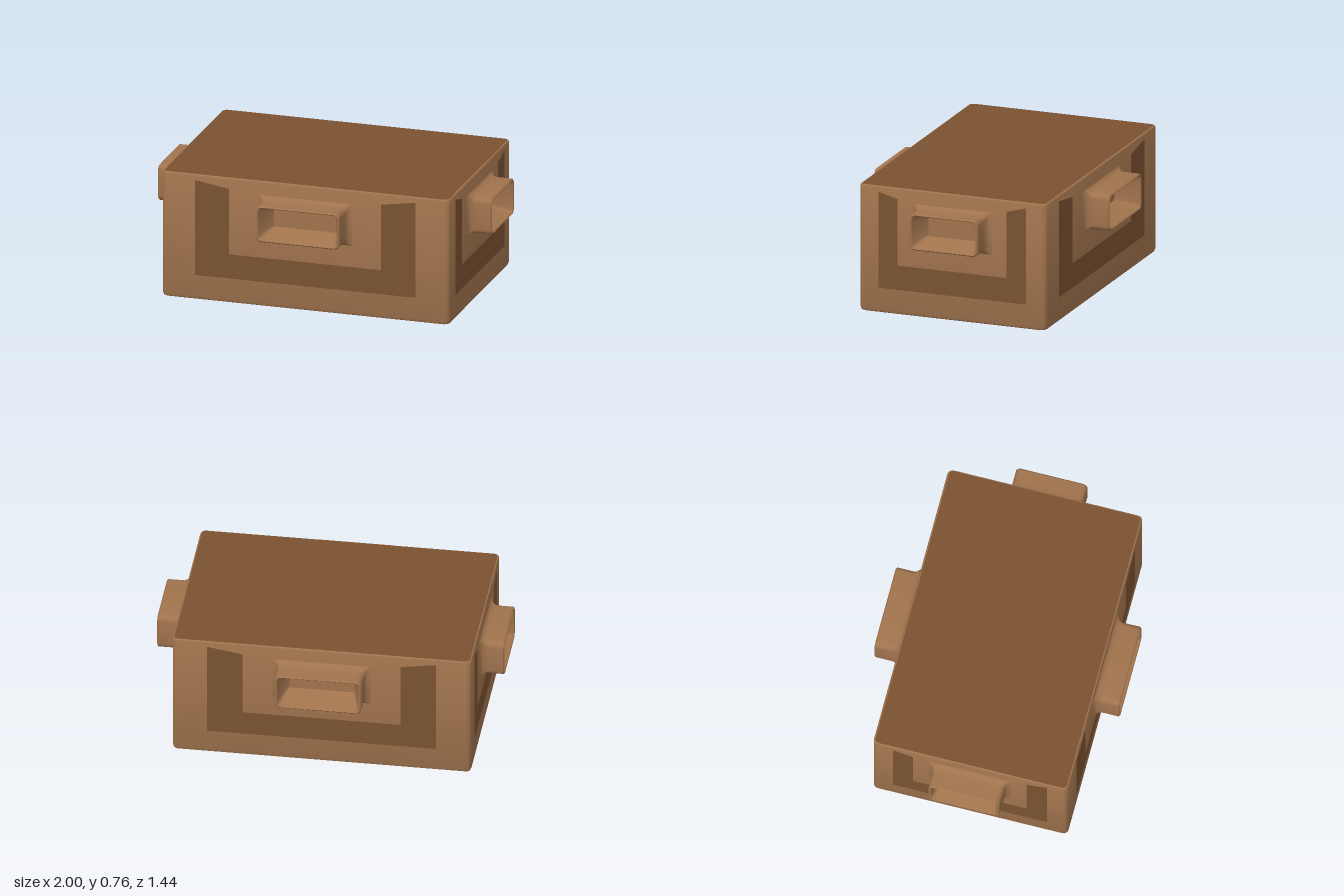
import * as THREE from 'three';
import { toCreasedNormals } from 'three/addons/utils/BufferGeometryUtils.js';

const wood = new THREE.MeshStandardMaterial({ color: 0xa0734d });
const darkWood = new THREE.MeshStandardMaterial({ color: 0x7a5230 });
const W = 0.86, D = 0.573, H = 0.754;

// Rounded rectangle outline, counter-clockwise
function outline(hw, hh, r, steps = 4) {
  const pts = [];
  const corners = [[1, 1], [-1, 1], [-1, -1], [1, -1]];
  corners.forEach(([sx, sy], q) => {
    for (let i = 0; i <= steps; i++) {
      const a = (q + i / steps) * Math.PI / 2;
      pts.push(new THREE.Vector2(sx * (hw - r) + r * Math.cos(a), sy * (hh - r) + r * Math.sin(a)));
    }
  });
  return pts;
}

// Skin through sections [halfWidth, halfHeight, radius, z], closed by a cap at the end
function loft(sections, capStart) {
  const pos = [], idx = [];
  const rings = sections.map(([hw, hh, r, z]) => outline(hw, hh, r).map(p => [p.x, p.y, z]));
  const n = rings[0].length;
  rings.forEach(ring => ring.forEach(p => pos.push(...p)));
  for (let s = 0; s < rings.length - 1; s++) {
    for (let i = 0; i < n; i++) {
      const a = s * n + i, b = s * n + (i + 1) % n;
      idx.push(a, b, b + n, a, b + n, a + n);
    }
  }
  const cap = (s, flip) => {
    const c = pos.length / 3;
    pos.push(0, 0, sections[s][3]);
    for (let i = 0; i < n; i++) {
      const a = s * n + i, b = s * n + (i + 1) % n;
      idx.push(c, flip ? b : a, flip ? a : b);
    }
  };
  cap(rings.length - 1, false);
  if (capStart) cap(0, true);
  const g = new THREE.BufferGeometry();
  g.setAttribute('position', new THREE.Float32BufferAttribute(pos, 3));
  g.setIndex(idx);
  return toCreasedNormals(g, 0.5);
}

function add(parent, name, geometry, material) {
  const mesh = new THREE.Mesh(geometry, material);
  mesh.name = name;
  parent.add(mesh);
  return mesh;
}

// Hollow grip: flared foot, straight wall, bevelled rim, tapered pocket
function handleGeometry(w) {
  const h = 0.108;
  return loft([
    [w + 0.035, h + 0.018, 0.001, 0],
    [w + 0.012, h + 0.007, 0.012, 0.012],
    [w + 0.003, h + 0.002, 0.025, 0.028],
    [w, h, 0.032, 0.045],
    [w, h, 0.032, 0.143],
    [w - 0.007, h - 0.007, 0.028, 0.15],
    [w - 0.015, h - 0.012, 0.026, 0.146],
    [w - 0.045, h - 0.038, 0.018, 0.04],
    [w - 0.065, h - 0.053, 0.01, 0.006],
  ], false);
}

// U-shaped dark inlay with slanted upper ends
function inlayGeometry(outer, inner) {
  const pts = [
    [-outer, 0.15], [outer, 0.15], [outer, 0.722], [inner, 0.69],
    [inner, 0.295], [-inner, 0.295], [-inner, 0.69], [-outer, 0.722],
  ];
  return new THREE.ShapeGeometry(new THREE.Shape(pts.map(p => new THREE.Vector2(...p))));
}

export function createModel() {
  const model = new THREE.Group();
  model.name = 'crate';

  // Body with softened edges
  const body = add(model, 'body', loft([
    [W - 0.022, D - 0.022, 0.02, 0],
    [W - 0.007, D - 0.007, 0.026, 0.007],
    [W, D, 0.03, 0.025],
    [W, D, 0.03, H - 0.01],
    [W - 0.003, D - 0.003, 0.028, H - 0.003],
    [W - 0.01, D - 0.01, 0.024, H],
  ], true), wood);
  body.rotation.x = -Math.PI / 2;

  // Dark top surface
  const top = add(model, 'topPanel',
    new THREE.ShapeGeometry(new THREE.Shape(outline(W - 0.009, D - 0.009, 0.024))), darkWood);
  top.rotation.x = -Math.PI / 2;
  top.position.y = H + 0.0015;

  // Handle and inlay on each of the four sides
  ['front', 'left', 'back', 'right'].forEach((name, i) => {
    const long = i % 2 === 0;
    const side = new THREE.Group();
    side.name = name + 'Side';
    side.rotation.y = i * Math.PI / 2;
    const face = long ? D : W;
    const handle = add(side, name + 'Handle', handleGeometry(long ? 0.25 : 0.21), wood);
    handle.position.set(0, 0.548, face - 0.001);
    if (!long) handle.scale.z = 0.141 / 0.15;
    const inlay = add(side, name + 'Inlay',
      long ? inlayGeometry(0.66, 0.455) : inlayGeometry(0.453, 0.334), darkWood);
    inlay.position.z = face + 0.002;
    model.add(side);
  });

  return model;
}
